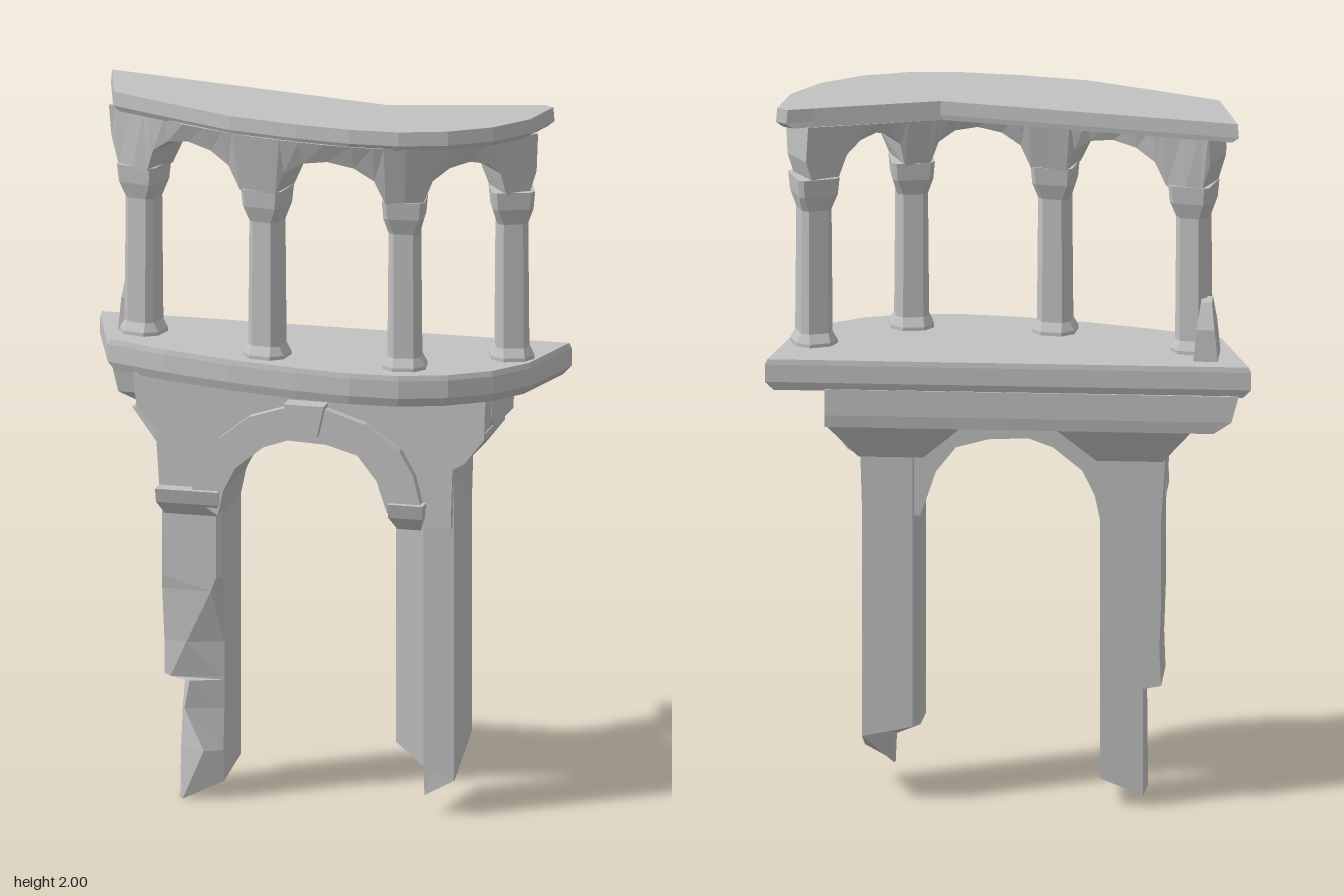
import * as THREE from 'three';

const stone = new THREE.MeshStandardMaterial({ color: 0xc2c2c2 });
stone.name = 'grey stone';

// Faceted mesh
function add(group, name, geometry) {
  const g = geometry.index ? geometry.toNonIndexed() : geometry;
  g.computeVertexNormals();
  const mesh = new THREE.Mesh(g, stone);
  mesh.name = name;
  group.add(mesh);
  return mesh;
}

// Skin a series of rings of [x, y, z]; end caps fan from each ring's first point
function loft(rings) {
  const n = rings[0].length, tris = [];
  for (let r = 0; r < rings.length - 1; r++) {
    const a = rings[r], b = rings[r + 1];
    for (let i = 0; i < n; i++) {
      const j = (i + 1) % n;
      tris.push([a[i], a[j], b[j]], [a[i], b[j], b[i]]);
    }
  }
  const first = rings[0], last = rings[rings.length - 1];
  for (let i = 1; i < n - 1; i++) {
    tris.push([first[0], first[i + 1], first[i]], [last[0], last[i], last[i + 1]]);
  }
  // Turn the faces outward using the signed volume
  let volume = 0;
  for (const [a, b, c] of tris) {
    volume += new THREE.Vector3(...a).dot(new THREE.Vector3(...b).cross(new THREE.Vector3(...c)));
  }
  if (volume < 0) tris.forEach(t => t.reverse());
  const g = new THREE.BufferGeometry();
  g.setAttribute('position', new THREE.Float32BufferAttribute(tris.flat(2), 3));
  return g;
}

// Rectangle ring at height y
const rect = (y, x0, x1, z0, z1) => [[x0, y, z0], [x1, y, z0], [x1, y, z1], [x0, y, z1]];

// Square ring of half width h with corners cut by c
const cutSquare = (y, h, c) => [[h, h - c], [h - c, h], [c - h, h], [-h, h - c], [-h, c - h], [c - h, -h], [h - c, -h], [h, c - h]]
  .map(([x, z]) => [x, y, z]);

// Slab from a plan outline, with layers of [height, scale]
function slab(plan, layers) {
  return loft(layers.map(([y, s]) => plan.map(([x, z]) => [x * s, y, z * s])));
}

// Front-facing outline pushed from z0 to z1
function plate(points, z0, z1) {
  const shape = new THREE.Shape(points.map(p => new THREE.Vector2(...p)));
  return new THREE.ExtrudeGeometry(shape, { depth: z1 - z0, bevelEnabled: false }).translate(0, 0, z0);
}

export function createModel() {
  const model = new THREE.Group();
  model.name = 'ruinedBalcony';

  // Balcony floor and curved cornice
  const front = [[0.62, 0], [0.54, 0.11], [0.43, 0.185], [0.3, 0.228], [0.16, 0.235], [0, 0.218], [-0.2, 0.178]];
  const floorPlan = [[0, -0.232], [0.675, -0.234], ...front, [-0.4, 0.12], [-0.58, 0.05], [-0.675, -0.23]];
  add(model, 'balconyFloor', slab(floorPlan, [[1.21, 0.965], [1.235, 1], [1.285, 1], [1.3, 0.99]]));
  const corniceBack = [[0.2, -0.045], [0.55, -0.135], [0.62, -0.158], [0.65, -0.14]];
  const cornicePlan = [...corniceBack, ...front, [-0.4, 0.09], [-0.575, 0.01], [-0.64, -0.215]];
  add(model, 'cornice', slab(cornicePlan, [[1.945, 0.97], [1.96, 1], [2, 0.995]]));

  // Columns of the upper arcade: base, shaft and flared capital
  const spots = [[-0.505, -0.06], [-0.11, 0.098], [0.29, 0.122], [0.55, -0.055]];
  const curve = new THREE.CatmullRomCurve3(spots.map(([x, z]) => new THREE.Vector3(x, 0, z)));
  const layers = [[1.29, 0.06, 0.03], [1.31, 0.06, 0.03], [1.335, 0.046, 0.018], [1.69, 0.043, 0.016],
    [1.735, 0.056, 0.012], [1.785, 0.06, 0.012]];
  spots.forEach(([x, z], i) => {
    const t = curve.getTangent(i / 3);
    const column = add(model, 'column', loft(layers.map(l => cutSquare(...l))));
    column.position.set(x, 0, z);
    column.rotation.y = -Math.atan2(t.z, t.x) * 0.6;
  });

  // Arcade wall: sections along the curve with arched undersides
  const sections = [];
  const section = (p, t, h, low, top) => {
    const at = (d, y) => [p.x - t.z * d, y, p.z + t.x * d];
    sections.push([at(-low, h), at(low, h), at(top, 1.95), at(-top, 1.95)]);
  };
  const endSection = (u, dist, h) => {
    const t = curve.getTangent(u);
    section(curve.getPoint(u).addScaledVector(t, dist), t, h, 0.05, 0.062);
  };
  endSection(0, -0.075, 1.86);
  endSection(0, -0.05, 1.78);
  for (let k = 0; k < 3; k++) {
    for (const s of [0, 0.13, 0.2, 0.33, 0.5, 0.67, 0.8, 0.87]) {
      const v = (s - 0.13) / 0.74 * 2 - 1;
      const rise = Math.sqrt(Math.max(0, 1 - v * v));
      const u = (k + s) / 3;
      const top = Math.min(0.098, 0.065 + 0.2 * Math.min(u, 1 - u));
      section(curve.getPoint(u), curve.getTangent(u), 1.78 + 0.115 * rise, 0.058 + 0.015 * rise, top);
    }
  }
  endSection(1, 0, 1.78);
  endSection(1, 0.035, 1.78);
  endSection(1, 0.055, 1.84);
  add(model, 'arcadeWall', loft(sections));

  // Broken stub beside the end column
  add(model, 'brokenStub', loft([
    rect(1.29, -0.58, -0.51, -0.18, -0.06),
    rect(1.39, -0.57, -0.52, -0.175, -0.06),
    rect(1.46, -0.56, -0.53, -0.14, -0.08),
  ]));

  // Lower arch wall
  const arch = [[-0.25, 0.83], [-0.235, 0.9], [-0.2, 0.97], [-0.12, 1.035], [-0.05, 1.06], [0.06, 1.055], [0.15, 1.03], [0.205, 0.96], [0.235, 0.87]];
  add(model, 'archWall', plate([...arch, [0.25, 0.83], [0.41, 0.83], [0.415, 1.0], [0.45, 1.02],
    [0.505, 1.09], [0.51, 1.215], [-0.5, 1.215], [-0.49, 1.12], [-0.435, 1.06], [-0.42, 0.83]], -0.15, 0.08));

  // Raised arch band and keystone
  const outer = [[0.33, 0.9], [0.31, 0.98], [0.27, 1.05], [0.17, 1.12], [0.06, 1.155], [-0.05, 1.155], [-0.16, 1.12], [-0.25, 1.05], [-0.31, 0.96], [-0.33, 0.88]];
  add(model, 'archBand', plate([...arch, ...outer], 0.075, 0.108));
  add(model, 'keystone', plate([[-0.035, 1.08], [0.04, 1.08], [0.06, 1.17], [-0.055, 1.17]], 0.075, 0.133));

  // Rear beam with a skewed end, and haunches that spread from the legs
  const beam = (y, xBack, xFront, zFront, zBack) =>
    [[xBack, y, zBack], [0.51, y, zBack], [0.51, y, zFront], [xFront, y, zFront]];
  add(model, 'rearBeam', loft([
    beam(1.105, -0.57, -0.5, -0.02, -0.225),
    beam(1.14, -0.62, -0.56, 0.01, -0.23),
    beam(1.215, -0.64, -0.575, 0.02, -0.23),
  ]));
  add(model, 'haunch', loft([rect(1.0, 0.24, 0.42, -0.155, 0.06), rect(1.11, 0.13, 0.508, -0.225, 0.075)]));
  add(model, 'haunch', loft([rect(1.0, -0.425, -0.24, -0.155, 0.06), rect(1.11, -0.51, -0.13, -0.225, 0.05)]));

  // Chipped leg: xl = outer edge, xm = ridge on the front, zr = recess at the inner corner, zl = outer corner
  const chipped = (y, xl, xm, zr, zl, drop = 0, lift = 0) => [
    [xl, y + lift, -0.15], [-0.25, y + drop + lift, -0.15],
    [-0.25, y + drop, zr], [xm, y, 0.07], [xl, y, zl]];
  add(model, 'chippedLeg', loft([
    chipped(0, -0.37, -0.36, 0.04, 0.06, 0.05, 0.03),
    chipped(0.14, -0.37, -0.3, 0.045, 0.05),
    chipped(0.26, -0.37, -0.355, 0.035, 0.03),
    chipped(0.34, -0.37, -0.34, 0.035, 0),
    chipped(0.35, -0.42, -0.395, 0.035, 0.04),
    chipped(0.45, -0.415, -0.35, 0.035, 0.06),
    chipped(0.6, -0.42, -0.28, 0.045, 0.065),
    chipped(0.64, -0.42, -0.265, 0.06, 0.07),
    chipped(1.1, -0.42, -0.265, 0.06, 0.07),
  ]));

  // Opposite leg with a slanted broken foot
  const legRing = y => [
    [0.25, y[0], -0.13], [0.27, y[0], -0.155], [0.41, y[1], -0.155],
    [0.415, y[2], 0.06], [0.33, y[3], 0.07], [0.245, y[4], 0.05]];
  add(model, 'leg', loft([legRing([0.22, 0.19, 0.1, 0.14, 0.2]), legRing([1.1, 1.1, 1.1, 1.1, 1.1])]));
  add(model, 'brokenFoot', loft([
    [[0.33, 0.055, 0.06], [0.412, 0.1, 0.06], [0.41, 0.19, -0.15], [0.325, 0.1, -0.1]],
    [[0.32, 0.3, 0.065], [0.412, 0.3, 0.06], [0.41, 0.3, -0.15], [0.32, 0.3, -0.15]],
  ]));

  // Pilaster capitals under the arch band
  for (const [x0, x1] of [[-0.42, -0.25], [0.245, 0.335]]) {
    add(model, 'legCapital', loft([
      rect(0.82, x0 + 0.012, x1 - 0.012, 0, 0.08),
      rect(0.86, x0 - 0.005, x1 + 0.002, 0, 0.115),
      rect(0.9, x0 - 0.005, x1 + 0.005, 0, 0.125),
    ]));
  }
  return model;
}
